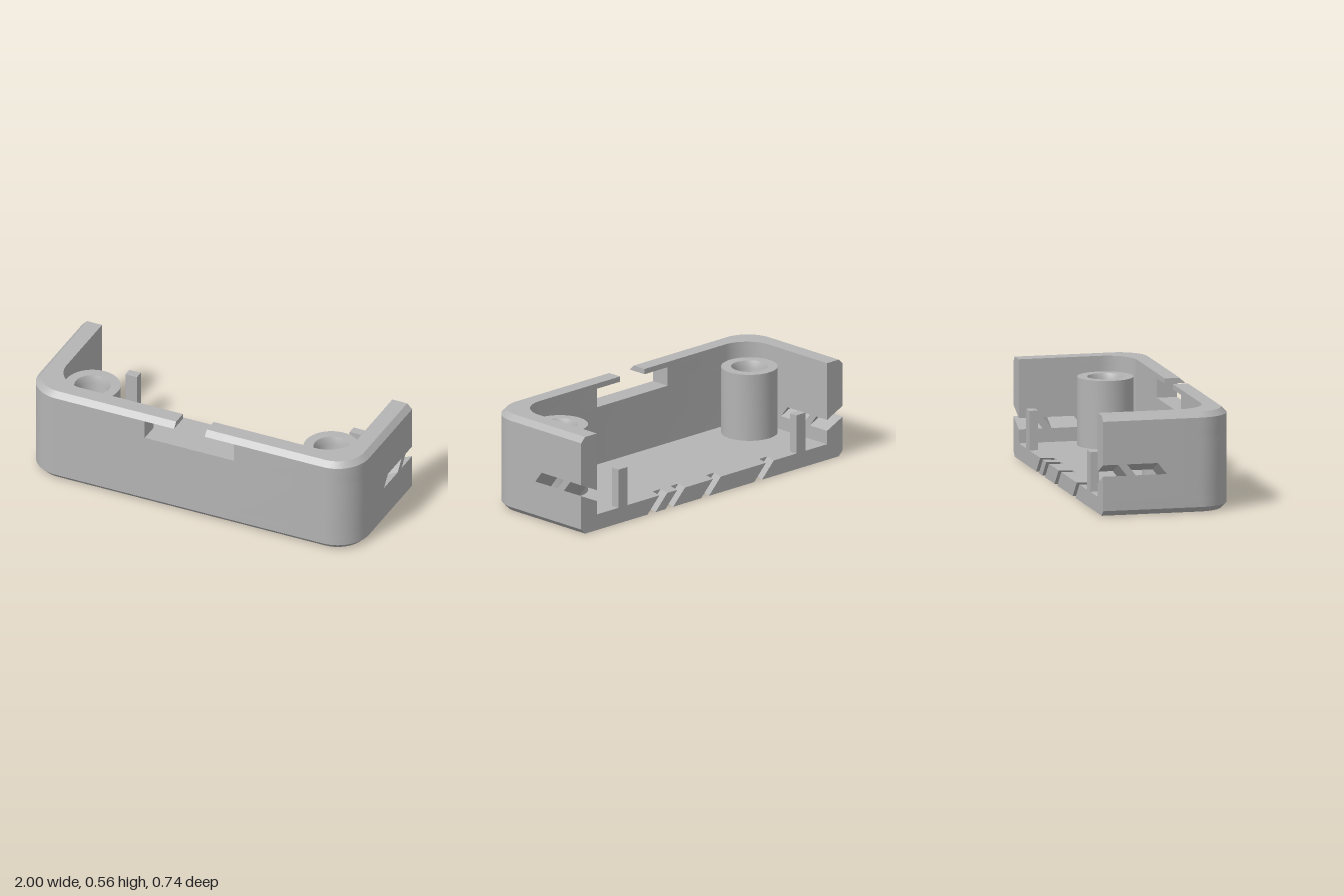
import * as THREE from 'three';
import { toCreasedNormals } from 'three/addons/utils/BufferGeometryUtils.js';

const FRONT = 0.37, BACK = -0.37, WALL = 0.115, CHAMFER = 0.03;
const FLOOR = 0.09, NOTCH = 0.42, RIM = 0.527, TOP = 0.557;
const OUTER_R = 0.19, INNER_R = 0.17, INNER_X = 0.88;

// Solid lofted through [outer, ...holes] contours given at each level w.
function loft(levels, contoursAt, place) {
  const out = [];
  const sections = levels.map((w) => contoursAt(w).map((c, i) => {
    const pts = c.map(([u, v]) => new THREE.Vector2(u, v));
    if (THREE.ShapeUtils.isClockWise(pts) !== (i > 0)) pts.reverse();
    return pts;
  }));
  const push = (p, w) => out.push(...place(p.x, p.y, w));
  // side faces
  for (let k = 0; k < levels.length - 1; k++) {
    const w0 = levels[k], w1 = levels[k + 1];
    sections[k].forEach((low, c) => {
      const high = sections[k + 1][c];
      low.forEach((a, i) => {
        const j = (i + 1) % low.length;
        push(a, w0); push(low[j], w0); push(high[j], w1);
        push(a, w0); push(high[j], w1); push(high[i], w1);
      });
    });
  }
  // end caps
  [0, levels.length - 1].forEach((k, end) => {
    const flat = sections[k].flat();
    THREE.ShapeUtils.triangulateShape(sections[k][0], sections[k].slice(1)).forEach(([a, b, c]) => {
      (end ? [a, b, c] : [a, c, b]).forEach((i) => push(flat[i], levels[k]));
    });
  });
  const geo = new THREE.BufferGeometry();
  geo.setAttribute('position', new THREE.Float32BufferAttribute(out, 3));
  return toCreasedNormals(geo, 0.5);
}

const stackY = (z, x, y) => [x, y, z];
const stackX = (y, z, x) => [x, y, z];

// Quarter arc in (z, x) from the side to the front
function arc(cz, cx, r, n = 14) {
  return Array.from({ length: n + 1 }, (_, i) => {
    const t = (i / n) * Math.PI / 2;
    return [cz + r * Math.sin(t), cx + r * Math.cos(t)];
  });
}
const outerArc = (inset) => arc(FRONT - OUTER_R, 1 - OUTER_R, OUTER_R - inset);
const innerArc = () => arc(FRONT - WALL - INNER_R, INNER_X - INNER_R, INNER_R);

// Plan of one half of the wall, from zBack round the corner to xEnd
function halfWall(side, xEnd, zBack, inset = 0) {
  return [
    [zBack, 1 - inset], ...outerArc(inset), [FRONT - inset, xEnd],
    [FRONT - WALL, xEnd], ...innerArc().reverse(), [zBack, INNER_X],
  ].map(([z, x]) => [z, x * side]);
}

// Floor plan with slanted vent slots along the open back edge
function floorPlan(y) {
  const inset = Math.max(0, CHAMFER - y), s = FLOOR - y;
  const right = outerArc(inset);
  const left = right.map(([z, x]) => [z, -x]).reverse();
  const slots = [-0.495, -0.09, 0.184, 0.32].flatMap((a) => [
    [BACK, a + 0.022 + s], [-0.295, a + s], [-0.295, a + 0.06 + s], [BACK, a + 0.082 + s],
  ]);
  return [[[BACK, 1 - inset], ...right, ...left, [BACK, -1 + inset], ...slots]];
}

// Side panel in (y, z) whose vents drop toward the inside
function sidePlan(x, zEnd) {
  const drop = Math.abs(x) < 0.95 ? 0.055 : 0;
  const lo = 0.222 - drop, hi = 0.285 - drop;
  return [
    [[FLOOR, BACK], [FLOOR, zEnd], [RIM, zEnd], [RIM, BACK],
      [hi, BACK], [hi, -0.285], [lo, -0.235], [lo, BACK]],
    [[lo, -0.01], [hi, -0.06], [hi, -0.235], [lo, -0.185]],
  ];
}

export function createModel() {
  const group = new THREE.Group();
  group.name = 'enclosureHalf';
  const grey = new THREE.MeshStandardMaterial({ color: 0xb4b4b4 });
  grey.name = 'plastic grey';
  const add = (name, geo) => {
    const mesh = new THREE.Mesh(geo, grey);
    mesh.name = name;
    group.add(mesh);
    return mesh;
  };

  add('floor', loft([0, CHAMFER, FLOOR], floorPlan, stackY));

  // Screw boss with a countersunk blind hole
  const bossGeo = toCreasedNormals(new THREE.LatheGeometry([
    [0.155, 0.08], [0.155, 0.47], [0.1, 0.47], [0.083, 0.43], [0.083, 0.1], [0, 0.1],
  ].map(([r, y]) => new THREE.Vector2(r, y)), 48), 0.5);

  const seam = 0.08;
  for (const side of [1, -1]) {
    const tag = side > 0 ? 'left' : 'right';
    // Walls: vented side, corner, part beside the port, chamfered rim
    const xs = [side * INNER_X, side].sort((a, b) => a - b);
    add(tag + 'SideWall', loft(xs, (x) => sidePlan(x, seam), stackX));
    add(tag + 'FrontWall', loft([FLOOR, NOTCH], () => [halfWall(side, 0, seam)], stackY));
    add(tag + 'PortWall', loft([NOTCH, RIM], () => [halfWall(side, 0.27, seam)], stackY));
    add(tag + 'Rim', loft([RIM, TOP], (y) => [halfWall(side, 0.093, BACK, y - RIM)], stackY));

    add(tag + 'ScrewBoss', bossGeo).position.set(side * 0.725, 0, 0.08);

    // Small locating post at the back edge
    add(tag + 'Post', new THREE.BoxGeometry(0.07, 0.23, 0.05))
      .position.set(side * 0.68, 0.195, BACK + 0.025);
  }
  return group;
}
